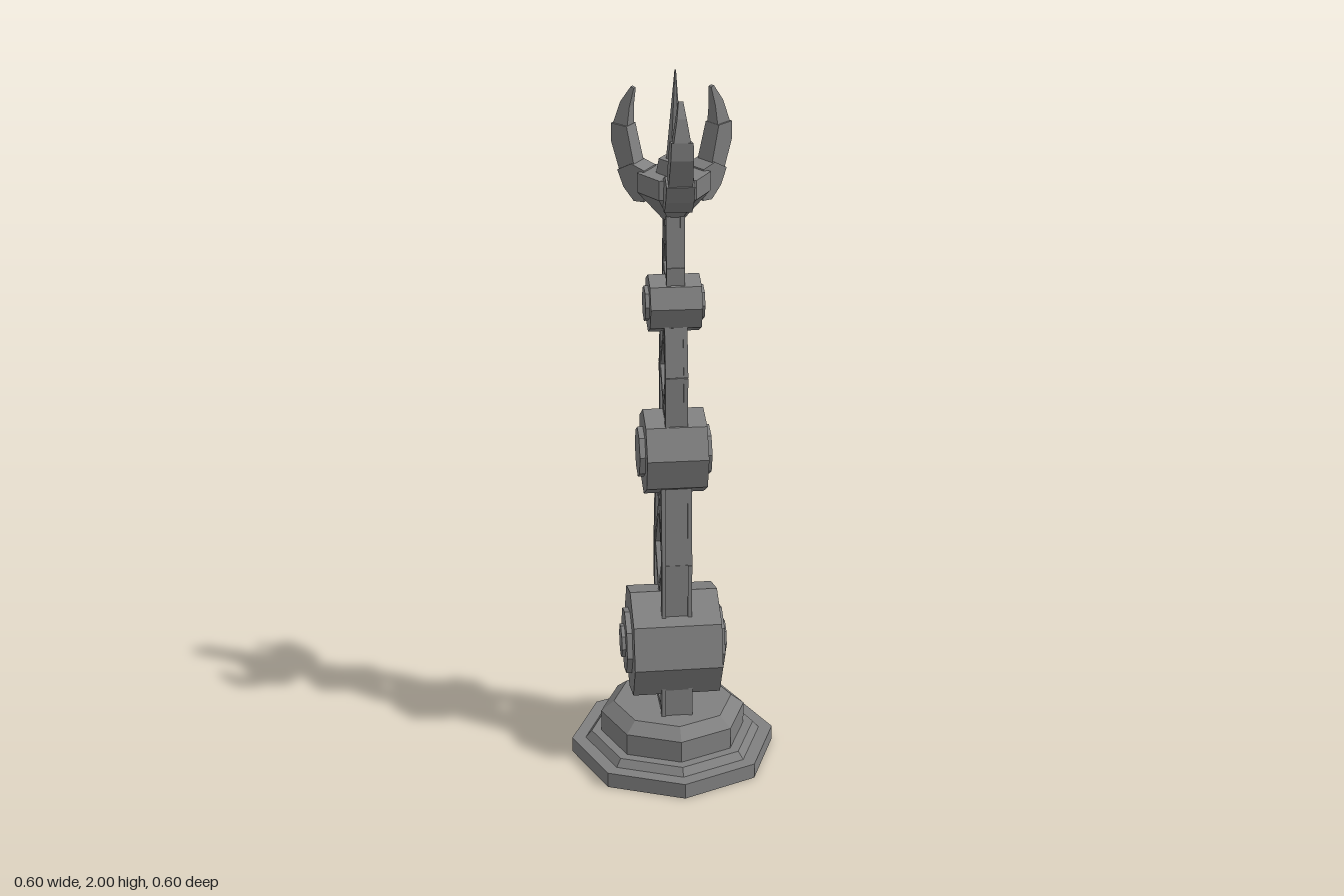
import * as THREE from 'three';

const grey = new THREE.MeshStandardMaterial({ color: 0x808080 });
grey.name = 'grey metal';

// Adds a faceted mesh to a parent
function add(parent, name, geometry, x = 0, y = 0, z = 0) {
  const flat = geometry.index ? geometry.toNonIndexed() : geometry;
  flat.computeVertexNormals();
  const mesh = new THREE.Mesh(flat, grey);
  mesh.name = name;
  mesh.position.set(x, y, z);
  parent.add(mesh);
  return mesh;
}

// Straight bar between two [z, y] points, w wide along x and t thick
function bar(parent, name, a, b, t, w, x = 0) {
  const dz = b[0] - a[0], dy = b[1] - a[1];
  const geometry = new THREE.BoxGeometry(w, Math.hypot(dz, dy), t);
  const mesh = add(parent, name, geometry, x, (a[1] + b[1]) / 2, (a[0] + b[0]) / 2);
  mesh.rotation.x = Math.atan2(dz, dy);
}

// Rail: recessed core between two thin side flanges
function rail(parent, points, t, half) {
  for (let i = 0; i < points.length - 1; i++) {
    const [a, b] = [points[i], points[i + 1]];
    bar(parent, 'railCore', a, b, t * 0.7, half * 2 - 0.01);
    for (const s of [-1, 1]) bar(parent, 'railFlange', a, b, t, 0.012, s * (half - 0.006));
  }
}

// Truss arm: front and back rails with crossing braces
function truss(parent, name, half, t, front, back, braces) {
  const group = new THREE.Group();
  group.name = name;
  parent.add(group);
  rail(group, front, t, half);
  rail(group, back, t, half);
  for (const [a, b] of braces) bar(group, 'brace', a, b, t * 0.75, half * 2 - 0.004);
}

// Eight-sided hinge across x, made of stacked [radius, half width] steps
function joint(parent, name, y, z, turn, steps) {
  const group = new THREE.Group();
  group.name = name;
  group.position.set(0, y, z);
  parent.add(group);
  steps.forEach(([r, half], i) => {
    const g = new THREE.CylinderGeometry(r, r, half * 2, 8, 1, false, THREE.MathUtils.degToRad(turn));
    add(group, i ? 'hingeCap' : 'hingeDrum', g.rotateZ(Math.PI / 2));
  });
}

// Extruded [radius, height] profile facing +z, narrowing from w0 at y0 to w1 at y1
function taperedPart(points, w0, w1, y0, y1) {
  const shape = new THREE.Shape(points.map(p => new THREE.Vector2(...p)));
  const g = new THREE.ExtrudeGeometry(shape, { depth: 2, bevelEnabled: false });
  g.translate(0, 0, -1).rotateY(-Math.PI / 2);
  const pos = g.attributes.position;
  for (let i = 0; i < pos.count; i++) {
    const k = THREE.MathUtils.clamp((pos.getY(i) - y0) / (y1 - y0), 0, 1);
    pos.setX(i, pos.getX(i) * THREE.MathUtils.lerp(w0, w1, k));
  }
  return g;
}

// Six-sided frustum with corners on the x axis
function hex(top, bottom, height) {
  return new THREE.CylinderGeometry(top, bottom, height, 6, 1, false, Math.PI / 6 * 3);
}

export function createModel() {
  const model = new THREE.Group();
  model.name = 'clawArm';

  // Stepped octagonal pedestal with a shallow recess underneath
  const profile = [[0, 0.012], [0.27, 0.012], [0.275, 0], [0.3, 0], [0.3, 0.045], [0.26, 0.045],
    [0.242, 0.066], [0.213, 0.066], [0.213, 0.13], [0.175, 0.16], [0, 0.16]];
  add(model, 'pedestal', new THREE.LatheGeometry(profile.map(p => new THREE.Vector2(...p)), 8));

  // Mounting frame
  const mount = new THREE.Group();
  mount.name = 'mount';
  model.add(mount);
  add(mount, 'mountPlate', new THREE.BoxGeometry(0.086, 0.02, 0.21), 0, 0.168, 0);
  for (const s of [-1, 1]) rail(mount, [[s * 0.097, 0.158], [s * 0.097, 0.33]], 0.027, 0.045);

  // Hinges
  joint(model, 'lowerJoint', 0.357, 0, -8, [[0.163, 0.126], [0.097, 0.142], [0.049, 0.153]]);
  joint(model, 'middleJoint', 0.945, 0.015, 5, [[0.122, 0.085], [0.072, 0.101]]);
  joint(model, 'upperJoint', 1.373, 0.018, 0, [[0.08, 0.07], [0.049, 0.081]]);

  // Truss arms
  truss(model, 'lowerArm', 0.043, 0.027,
    [[0.09, 0.38], [0.092, 0.63], [0.074, 0.92]],
    [[-0.097, 0.38], [-0.1, 0.63], [-0.048, 0.92]],
    [[[0.075, 0.89], [-0.098, 0.62]], [[-0.052, 0.89], [0.09, 0.62]],
      [[0.09, 0.64], [-0.08, 0.4]], [[-0.098, 0.64], [0.08, 0.4]]]);
  truss(model, 'middleArm', 0.031, 0.022,
    [[0.078, 0.98], [0.087, 1.18], [0.058, 1.36]],
    [[-0.052, 0.98], [-0.06, 1.18], [-0.025, 1.36]],
    [[[0.06, 1.35], [-0.06, 1.17]], [[-0.025, 1.35], [0.085, 1.17]],
      [[0.085, 1.19], [-0.045, 1.0]], [[-0.06, 1.19], [0.075, 1.0]]]);
  truss(model, 'upperArm', 0.025, 0.017,
    [[0.06, 1.38], [0.063, 1.48], [0.048, 1.66]],
    [[-0.025, 1.38], [-0.028, 1.48], [-0.005, 1.66]],
    [[[0.05, 1.62], [-0.026, 1.475]], [[-0.01, 1.62], [0.06, 1.475]],
      [[0.06, 1.485], [-0.01, 1.385]], [[-0.026, 1.485], [0.045, 1.385]]]);

  // Hand, leaning slightly forward
  const hand = new THREE.Group();
  hand.name = 'hand';
  hand.position.set(0, 1.605, 0.02);
  hand.rotation.x = 0.088;
  model.add(hand);
  add(hand, 'wristCone', hex(0.098, 0.03, 0.075), 0, 0.0375, 0);
  add(hand, 'palm', hex(0.098, 0.098, 0.052), 0, 0.1, 0);
  add(hand, 'palmCap', hex(0.041, 0.048, 0.038), 0, 0.145, 0);
  add(hand, 'centreSpike', hex(0.002, 0.022, 0.235), 0, 0.2785, 0);

  // Three clawed fingers around the palm
  for (let i = 0; i < 3; i++) {
    const finger = new THREE.Group();
    finger.name = 'finger';
    finger.rotation.y = i * Math.PI * 2 / 3;
    hand.add(finger);
    add(finger, 'fingerBase', taperedPart(
      [[0.07, 0.045], [0.1, 0.045], [0.13, 0.08], [0.148, 0.125], [0.108, 0.145], [0.07, 0.13]], 0.037, 0.037, 0, 1));
    add(finger, 'fingerLink', taperedPart(
      [[0.1, 0.085], [0.13, 0.08], [0.17, 0.2], [0.17, 0.246], [0.125, 0.24], [0.102, 0.14]], 0.033, 0.028, 0.09, 0.246));
    add(finger, 'claw', taperedPart(
      [[0.126, 0.236], [0.168, 0.242], [0.15, 0.302], [0.123, 0.342], [0.114, 0.338], [0.123, 0.29]], 0.023, 0.006, 0.24, 0.34));
  }

  return model;
}
